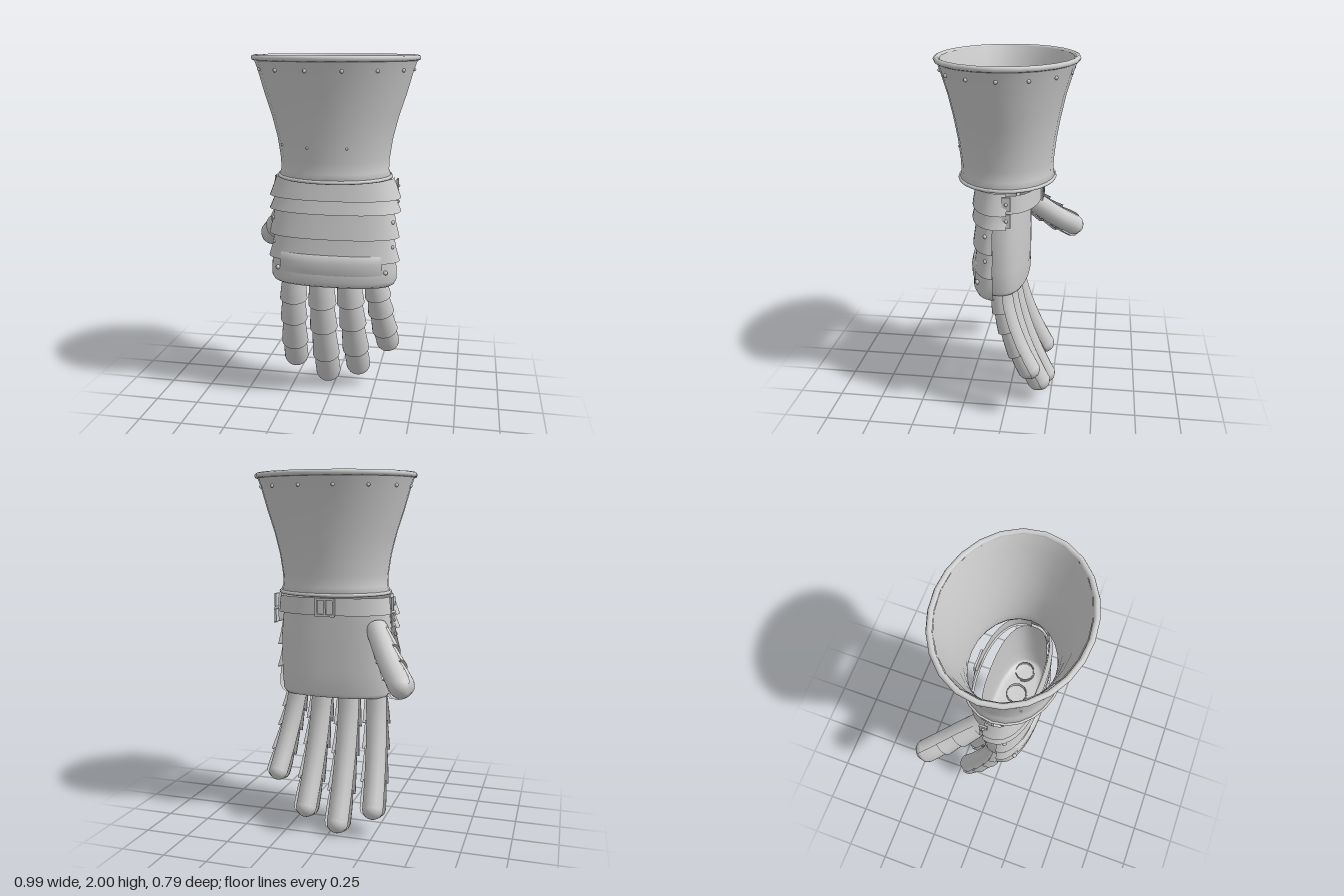
import * as THREE from 'three';

const V = (x, y, z) => new THREE.Vector3(x, y, z);
const CX = 0.035; // centre line of cuff and hand

export function createModel() {
  const model = new THREE.Group();
  model.name = 'armouredGlove';
  const steel = new THREE.MeshStandardMaterial({ color: 0xcccccc, side: THREE.DoubleSide });
  steel.name = 'steel grey';

  const add = (name, geo, parent = model) => {
    const m = new THREE.Mesh(geo, steel);
    m.name = name;
    parent.add(m);
    return m;
  };

  // Skin a list of cross-sections; a repeated section makes a crease
  function loft(rings, closed) {
    const n = rings[0].length, pos = [], idx = [];
    rings.forEach(r => r.forEach(p => pos.push(p.x, p.y, p.z)));
    for (let i = 0; i < rings.length - 1; i++) {
      for (let j = 0; j < (closed ? n : n - 1); j++) {
        const k = (j + 1) % n, a = i * n + j, b = i * n + k, c = a + n, d = b + n;
        idx.push(a, c, b, b, c, d);
      }
    }
    const g = new THREE.BufferGeometry();
    g.setAttribute('position', new THREE.Float32BufferAttribute(pos, 3));
    g.setIndex(idx);
    g.computeVertexNormals();
    return g;
  }

  // Elliptical section at height y; angle 0 faces the front, e < 1 squares it off
  function arc(y, rx, rz, zc, from, to, n, e = 1) {
    const pts = [];
    const pw = v => Math.sign(v) * Math.pow(Math.abs(v), e);
    for (let i = 0; i < n; i++) {
      const a = THREE.MathUtils.degToRad(from + (to - from) * i / (n - 1));
      pts.push(V(CX + rx * pw(Math.sin(a)), y, zc + rz * pw(Math.cos(a))));
    }
    return pts;
  }
  const ring = (y, rx, rz, zc, n = 24, e = 1) => arc(y, rx, rz, zc, 0, 360 * (n - 1) / n, n, e);
  const roll = (name, y, rx, rz, zc, r) => add(name, new THREE.TubeGeometry(
    new THREE.CatmullRomCurve3(ring(y, rx, rz, zc, 20), true), 24, r, 8, true));
  const rivet = (x, y, z, r = 0.011) =>
    add('rivet', new THREE.SphereGeometry(r, 8, 6)).position.set(x, y, z);

  // Flared cuff: outer wall, then back up the inner wall
  const wall = [
    [1.99, 0.445, 0.37], [1.92, 0.42, 0.347], [1.8, 0.387, 0.311], [1.68, 0.348, 0.285],
    [1.56, 0.318, 0.264], [1.45, 0.302, 0.252], [1.39, 0.3, 0.25], [1.355, 0.315, 0.26]];
  const outer = wall.map(([y, rx, rz]) => ring(y, rx, rz, 0.015));
  const inner = wall.slice().reverse().map(([y, rx, rz]) => ring(y, rx - 0.02, rz - 0.02, 0.015));
  add('cuff', loft([...outer, ...inner], true));
  roll('cuffTopRim', 1.985, 0.441, 0.367, 0.015, 0.015);
  roll('cuffBottomRim', 1.352, 0.313, 0.258, 0.015, 0.01);
  for (let i = 0; i < 14; i++) {
    const a = (i + 0.5) / 14 * Math.PI * 2;
    rivet(CX + 0.422 * Math.sin(a), 1.925, 0.015 + 0.35 * Math.cos(a), 0.01);
  }
  for (const x of [-0.23, -0.07, 0.14]) {
    rivet(x, 1.53, 0.015 + 0.26 * Math.sqrt(1 - ((x - CX) / 0.313) ** 2), 0.007);
  }

  // Palm: open at the wrist, rounded and closed at the finger end
  const palm = [[1.27, 0.308, 0.138], [1.1, 0.325, 0.14], [0.9, 0.325, 0.14], [0.78, 0.318, 0.138],
    [0.757, 0.3, 0.125], [0.75, 0.24, 0.1], [0.75, 0.001, 0.001]];
  add('palm', loft(palm.map(([y, rx, rz]) => ring(y, rx, rz, 0.028, 40, 0.82)), true));

  // Overlapping plates over the back of the hand
  const plate = (name, rows, zc, half) => {
    const sect = rows.map(([y, rx, rz]) => arc(y, rx, rz, zc, -half, half, 25, 0.88));
    const [y, rx, rz] = rows[rows.length - 1];
    const lip = s => arc(y, rx - s, rz - s, zc, -half, half, 25, 0.88);
    return add(name, loft([...sect, lip(0), lip(0.014)], false));
  };
  plate('wristPlate', [[1.345, 0.33, 0.157], [1.3, 0.345, 0.165], [1.235, 0.37, 0.176]], 0.02, 102);
  plate('wristPlate', [[1.255, 0.34, 0.157], [1.21, 0.35, 0.167], [1.16, 0.372, 0.178]], 0.02, 102);
  plate('handPlate', [[1.175, 0.335, 0.122], [1.1, 0.35, 0.132], [1.02, 0.37, 0.144]], 0.05, 90);
  plate('handPlate', [[1.035, 0.338, 0.122], [0.96, 0.352, 0.13], [0.885, 0.374, 0.14]], 0.05, 90);
  plate('knucklePlate', [[0.89, 0.352, 0.135], [0.83, 0.358, 0.146], [0.775, 0.358, 0.146],
    [0.75, 0.345, 0.135], [0.738, 0.325, 0.115]], 0.05, 90);
  plate('knuckleRidge', [[0.932, 0.345, 0.126], [0.925, 0.352, 0.146], [0.885, 0.358, 0.155],
    [0.84, 0.36, 0.152], [0.81, 0.355, 0.144]], 0.05, 51);
  for (const s of [-1, 1]) {
    rivet(CX + s * 0.305, 0.835, 0.14, 0.013);
    for (const y of [0.97, 1.11]) rivet(CX + s * 0.334, y, 0.09, 0.012);
  }

  // Wrist strap with end tabs and a buckle
  const strap = [[1.33, 0.315, 0.168], [1.235, 0.325, 0.172], [1.235, 0.325, 0.172], [1.235, 0.313, 0.16]];
  add('strap', loft(strap.map(([y, rx, rz]) => arc(y, rx, rz, -0.005, 85, 275, 25, 0.9)), false));
  for (const s of [-1, 1]) {
    for (const y of [1.205, 1.295]) {
      add('strapTab', new THREE.BoxGeometry(0.01, 0.075, 0.045)).position.set(CX + s * 0.345, y, -0.022);
      rivet(CX + s * 0.351, y, -0.022, 0.009);
    }
  }
  const buckle = new THREE.Group();
  buckle.name = 'buckle';
  buckle.position.set(CX, 1.28, -0.18);
  model.add(buckle);
  for (const s of [-1, 1]) {
    add('buckleSide', new THREE.BoxGeometry(0.013, 0.1, 0.012), buckle).position.x = s * 0.05;
    add('buckleBar', new THREE.BoxGeometry(0.11, 0.013, 0.012), buckle).position.y = s * 0.045;
  }
  add('bucklePin', new THREE.BoxGeometry(0.01, 0.09, 0.01), buckle);

  // A digit: inner tube, round tip, and half-round plates facing `front`
  function digit(name, pts, r, front, cuts) {
    const g = new THREE.Group();
    g.name = name;
    model.add(g);
    const curve = new THREE.CatmullRomCurve3(pts);
    add('gloveTube', new THREE.TubeGeometry(curve, 20, r, 12), g);
    const tip = add('gloveTip', new THREE.SphereGeometry(r, 14, 10), g);
    tip.position.copy(pts[pts.length - 1]);
    const len = curve.getLength();
    const section = (t, rad) => {
      const u = Math.min(t, 1);
      const c = curve.getPointAt(u), T = curve.getTangentAt(u);
      c.addScaledVector(T, (t - u) * len);
      const F = front.clone().addScaledVector(T, -front.dot(T)).normalize();
      const S = new THREE.Vector3().crossVectors(F, T);
      const out = [];
      for (let i = 0; i <= 14; i++) {
        const a = (i / 14 - 0.5) * Math.PI * 1.06;
        out.push(c.clone().addScaledVector(F, rad * Math.cos(a)).addScaledVector(S, rad * Math.sin(a)));
      }
      return out;
    };
    for (let i = 0; i < cuts.length - 1; i++) {
      const a = cuts[i] - 0.025, b = cuts[i + 1], rows = [];
      for (let k = 0; k <= 4; k++) {
        rows.push(section(a + (b - a) * k / 4, r + 0.005 + 0.016 * k / 4));
      }
      rows.push(section(b, r + 0.021), section(b, r + 0.004));
      add('digitPlate', loft(rows, false), g);
    }
    // Cap plate rounding over the tip
    const t0 = cuts[cuts.length - 1] - 0.025, k = r / len;
    add('tipPlate', loft([[t0, 0.006], [(t0 + 1) / 2, 0.013], [1, 0.014], [1 + 0.4 * k, 0.006],
      [1 + 0.75 * k, -0.3 * r], [1 + 0.95 * k, -0.7 * r], [1 + k, -0.98 * r]]
      .map(([t, d]) => section(t, r + d)), false), g);
  }

  // Fingers: base x, tip x, tip height, curl, radius
  const fingers = [
    ['indexFinger', -0.205, -0.245, 0.158, 0.2, 0.06],
    ['middleFinger', -0.045, -0.045, 0.062, 0.22, 0.062],
    ['ringFinger', 0.115, 0.147, 0.128, 0.205, 0.06],
    ['littleFinger', 0.265, 0.332, 0.312, 0.165, 0.055]];
  for (const [name, x0, x1, y1, curl, r] of fingers) {
    const pts = [];
    for (let i = 0; i <= 5; i++) {
      const u = i / 5;
      pts.push(V(x0 + (x1 - x0) * u, 0.79 + (y1 - 0.79) * u, 0.015 - curl * Math.pow(u, 1.7)));
    }
    digit(name, pts, r, V(0, 0, 1), [0.06, 0.28, 0.5, 0.78]);
  }

  // Thumb
  digit('thumb', [V(-0.22, 1.16, -0.04), V(-0.285, 1.07, -0.14), V(-0.355, 0.98, -0.24), V(-0.427, 0.905, -0.337)],
    0.062, V(-0.68, -0.45, 0.57), [0.15, 0.45, 0.72]);

  return model;
}
